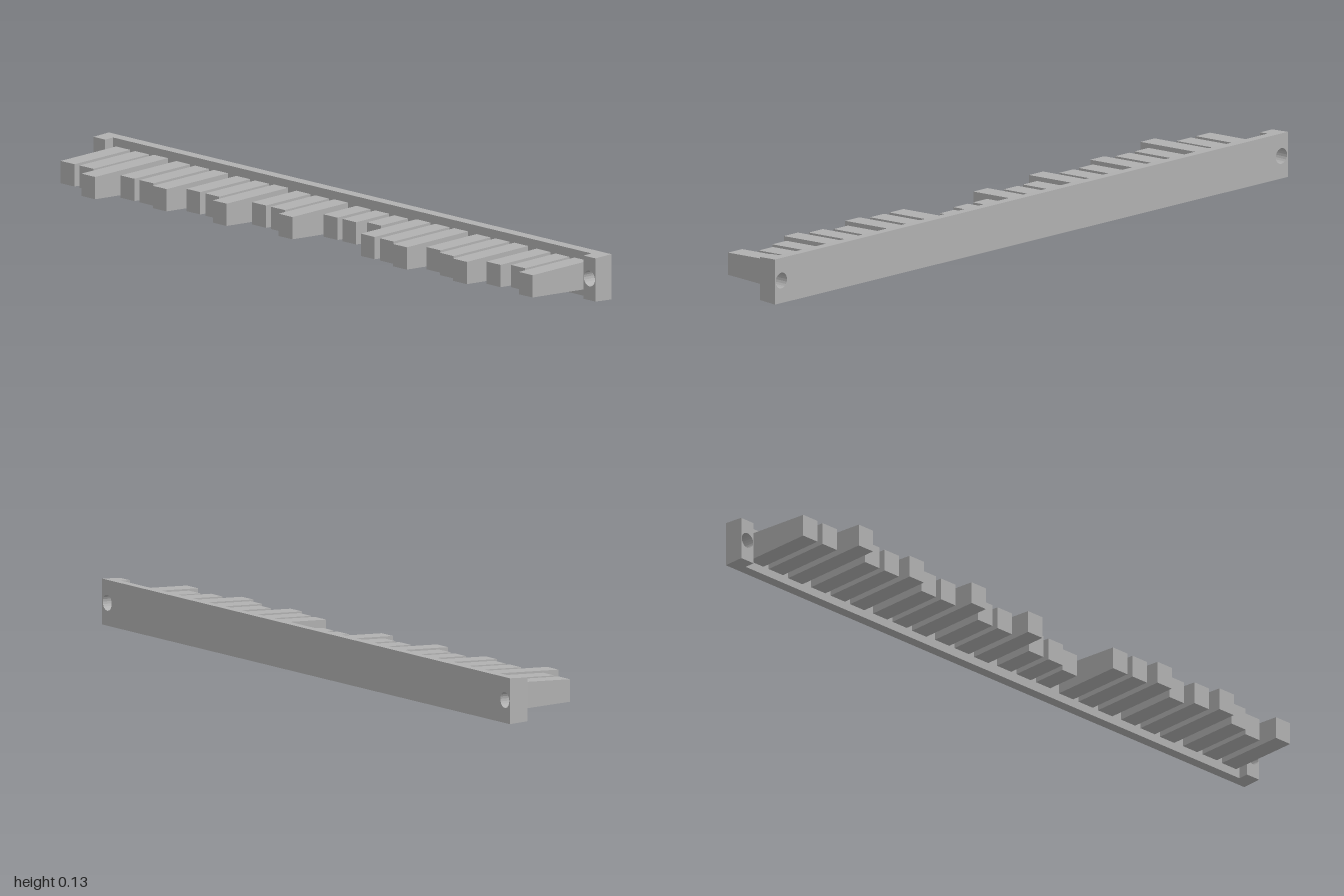
import * as THREE from 'three';

const MID = 0.063;      // height of the centre line
const BACK = -0.149;    // rear face of the bar
const PLATE = -0.12;    // front face of the bar

// Rectangle with round bolt holes, extruded from z0 to z1, outer walls drafted towards the front
function draftedSlab(x0, x1, holes, z0, z1) {
  const h = 0.063;
  const shape = new THREE.Shape([
    new THREE.Vector2(x0, -h), new THREE.Vector2(x1, -h),
    new THREE.Vector2(x1, h), new THREE.Vector2(x0, h),
  ]);
  for (const x of holes) {
    const hole = new THREE.Path();
    hole.absarc(x, 0, 0.022, 0, Math.PI * 2, true);
    shape.holes.push(hole);
  }
  const g = new THREE.ExtrudeGeometry(shape, { depth: z1 - z0, bevelEnabled: false, curveSegments: 10 });
  g.translate(0, 0, z0);
  const p = g.attributes.position;
  for (let i = 0; i < p.count; i++) {
    const inset = (p.getZ(i) - BACK) * 0.05;
    const y = p.getY(i), x = p.getX(i);
    if (Math.abs(y) > 0.05) p.setY(i, y - Math.sign(y) * inset);
    if (Math.abs(x) > 0.999) p.setX(i, x - Math.sign(x) * inset * 0.4);
  }
  g.computeVertexNormals();
  return g.translate(0, MID, 0);
}

// Finger with a fixed tip size that thickens towards its root
function fingerGeometry(tip) {
  const length = tip - PLATE;
  const g = new THREE.BoxGeometry(0.055, 0.062, length);
  const p = g.attributes.position;
  for (let i = 0; i < p.count; i++) {
    if (p.getZ(i) < 0) {
      p.setY(i, p.getY(i) + Math.sign(p.getY(i)) * length * 0.0375);
    }
  }
  g.computeVertexNormals();
  return g.translate(0, MID, PLATE + length / 2);
}

export function createModel() {
  const model = new THREE.Group();
  const grey = new THREE.MeshStandardMaterial({ color: 0xb0b0b0 });
  grey.name = 'grey';
  const add = (geometry, name) => {
    const mesh = new THREE.Mesh(geometry, grey);
    mesh.name = name;
    model.add(mesh);
    return mesh;
  };

  // Long bar with a bolt hole at each end
  add(draftedSlab(-1, 1, [-0.975, 0.975], BACK, PLATE), 'bar');

  // Thicker mounting blocks around the holes
  add(draftedSlab(0.952, 1, [0.975], PLATE, -0.091), 'leftMount');
  add(draftedSlab(-1, -0.952, [-0.975], PLATE, -0.091), 'rightMount');

  // Eight groups of three fingers; each number is a cut depth in steps from the longest tip
  const cuts = [
    [3, 3, 0], [3, 3, 2], [4, 4, 2], [5, 5, 3],
    [7, 7, 8], [3, 3, 2], [4, 3, 2], [4, 5, 3],
  ];
  cuts.forEach((group, g) => group.forEach((cut, i) => {
    const finger = add(fingerGeometry(0.149 - cut * 0.021), `finger${g * 3 + i + 1}`);
    finger.position.x = (g - 3.5) * 0.239 + (i - 1) * 0.0752;
  }));

  return model;
}
